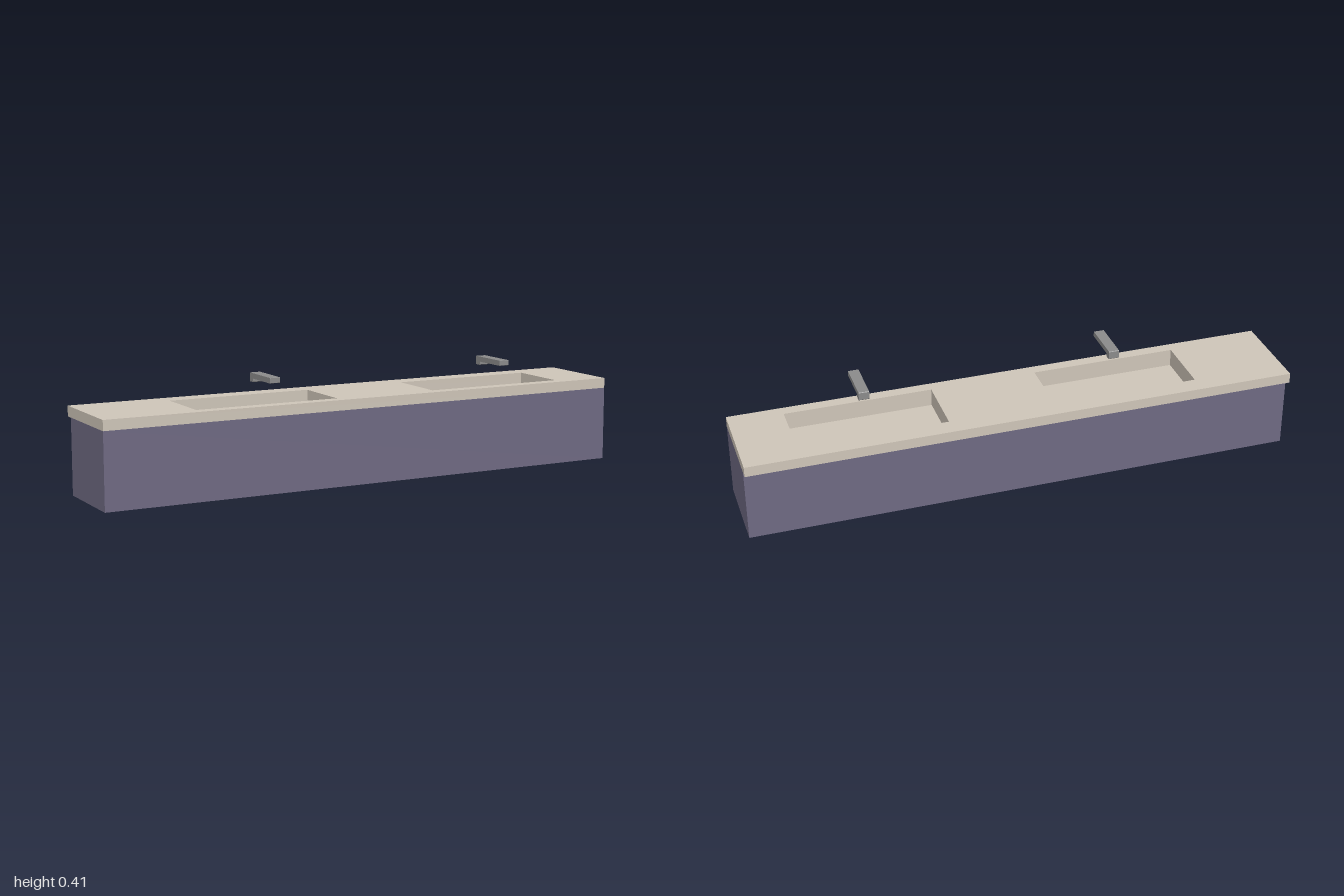
import * as THREE from 'three';

const mat = (name, color) => {
  const m = new THREE.MeshStandardMaterial({ color });
  m.name = name;
  return m;
};

// Counter-clockwise rectangle, as a shape or as a hole
const rect = (x0, x1, z0, z1, Type = THREE.Shape) => new Type([
  new THREE.Vector2(x0, -z1), new THREE.Vector2(x1, -z1),
  new THREE.Vector2(x1, -z0), new THREE.Vector2(x0, -z0),
]);

export function createModel() {
  const group = new THREE.Group();
  const stone = mat('stone beige', 0xcfc6b9);
  const paint = mat('cabinet purple grey', 0x6f6a83);
  const metal = mat('tap grey', 0x8b8b8b);

  const add = (name, geometry, material, parent = group) => {
    const mesh = new THREE.Mesh(geometry, material);
    mesh.name = name;
    parent.add(mesh);
    return mesh;
  };
  // Box given by its limits on each axis
  const box = (name, x0, x1, y0, y1, z0, z1, material, parent) =>
    add(name, new THREE.BoxGeometry(x1 - x0, y1 - y0, z1 - z0), material, parent)
      .position.set((x0 + x1) / 2, (y0 + y1) / 2, (z0 + z1) / 2);
  // Horizontal slab between two heights, with any holes of its shape
  const slab = (name, shape, y0, y1, material, parent) => {
    const g = new THREE.ExtrudeGeometry(shape, { depth: y1 - y0, bevelEnabled: false });
    g.rotateX(-Math.PI / 2).translate(0, y0, 0);
    add(name, g, material, parent);
  };

  const front = 0.162, back = -0.145, overhang = -0.175;
  const under = 0.27, top = 0.307, basinFloor = 0.243;
  const basinZ = [-0.107, 0.12];
  const basins = [[-0.654, -0.12], [0.269, 0.804]];

  // Cabinet: base panel and four walls, open under the counter
  const cabinet = new THREE.Group();
  cabinet.name = 'cabinet';
  group.add(cabinet);
  const walls = rect(-1, 1, back, front);
  walls.holes.push(rect(-0.98, 0.98, back + 0.02, front - 0.02, THREE.Path));
  slab('cabinetWalls', walls, 0, under, paint, cabinet);
  box('cabinetBase', -0.98, 0.98, 0, 0.02, back + 0.02, front - 0.02, paint, cabinet);
  // Painted underside of the overhang
  box('overhangUnderside', -1, 1, under - 0.001, under, overhang, back, paint, cabinet);

  // Counter with two basin openings, overhanging at the back
  const counter = rect(-1, 1, overhang, front);
  for (const [x0, x1] of basins) counter.holes.push(rect(x0, x1, ...basinZ, THREE.Path));
  slab('counter', counter, under, top, stone);

  // Sunken basins: walls below the counter and a floor
  for (const [x0, x1] of basins) {
    const [z0, z1] = basinZ;
    const basin = new THREE.Group();
    basin.name = 'basin';
    group.add(basin);
    const ring = rect(x0 - 0.01, x1 + 0.01, z0 - 0.01, z1 + 0.01);
    ring.holes.push(rect(x0, x1, z0, z1, THREE.Path));
    slab('basinWalls', ring, basinFloor, under, stone, basin);
    box('basinFloor', x0 - 0.01, x1 + 0.01, basinFloor - 0.01, basinFloor, z0 - 0.01, z1 + 0.01, stone, basin);
  }

  // Taps: L-shaped profile in z and y with eased corners, extruded across x
  const profile = new THREE.Shape([
    [0.017, 0.376], [0.019, 0.374], [0.042, 0.374], [0.044, 0.376], [0.044, 0.386],
    [0.175, 0.386], [0.176, 0.387], [0.176, 0.404], [0.175, 0.405], [0.019, 0.405], [0.017, 0.403],
  ].map(([z, y]) => new THREE.Vector2(-z, y)));
  const width = 0.038;
  for (const x of [-0.387, 0.537]) {
    const g = new THREE.ExtrudeGeometry(profile, { depth: width, bevelEnabled: false });
    g.translate(0, 0, -width / 2).rotateY(Math.PI / 2);
    add('tap', g, metal).position.x = x;
  }

  return group;
}
